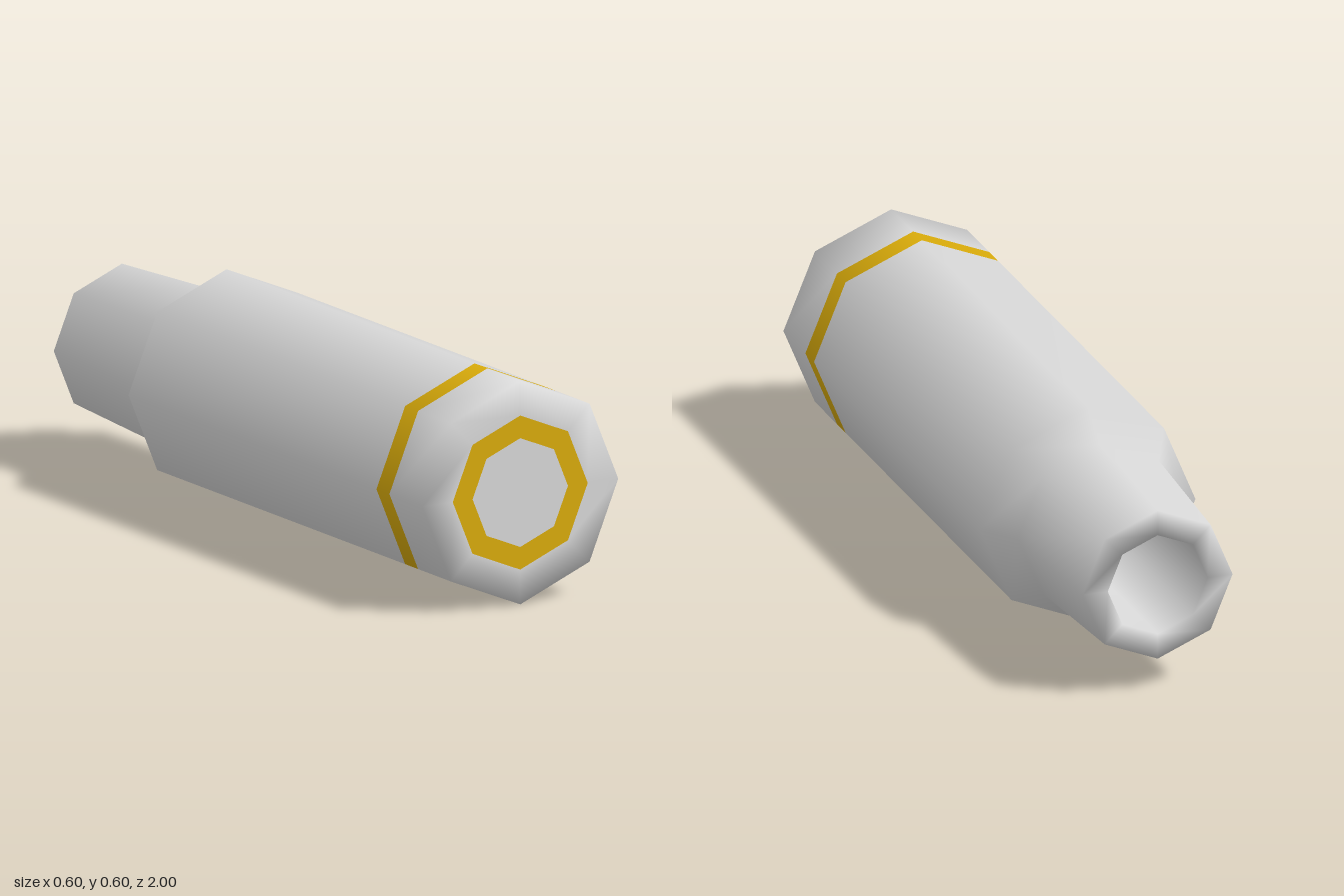
import * as THREE from 'three';

const SIDES = 8;
const R = 0.302;

export function createModel() {
  const silver = new THREE.MeshStandardMaterial({ color: 0xd8d8d8 });
  silver.name = 'silver';
  const gold = new THREE.MeshStandardMaterial({ color: 0xd9ab0a });
  gold.name = 'gold';

  const model = new THREE.Group();
  model.name = 'casing';

  // Turns a profile of [radius, z] points around the long axis
  function turned(name, profile, material) {
    const points = profile.map(([r, z]) => new THREE.Vector2(r, z));
    const geometry = new THREE.LatheGeometry(points, SIDES);
    geometry.rotateX(Math.PI / 2);
    const mesh = new THREE.Mesh(geometry, material);
    mesh.name = name;
    mesh.position.y = R;
    model.add(mesh);
  }

  // Hollow mouth, tapered neck, shoulder and long body
  turned('body', [
    [0, -0.55], [0.14, -0.55], [0.14, -1], [0.21, -1],
    [0.232, -0.57], [R, -0.475], [R, 0.77],
  ], silver);

  // Painted band near the base
  turned('band', [[R, 0.77], [R, 0.835]], gold);

  // Base with its softly shaded rim
  turned('base', [[R, 0.835], [R, 1], [0.208, 1]], silver);

  // Flat end: ring and centre disc
  turned('endRing', [[0.208, 1], [0.147, 1]], gold);
  turned('endDisc', [[0.147, 1], [0, 1]], silver);

  return model;
}
